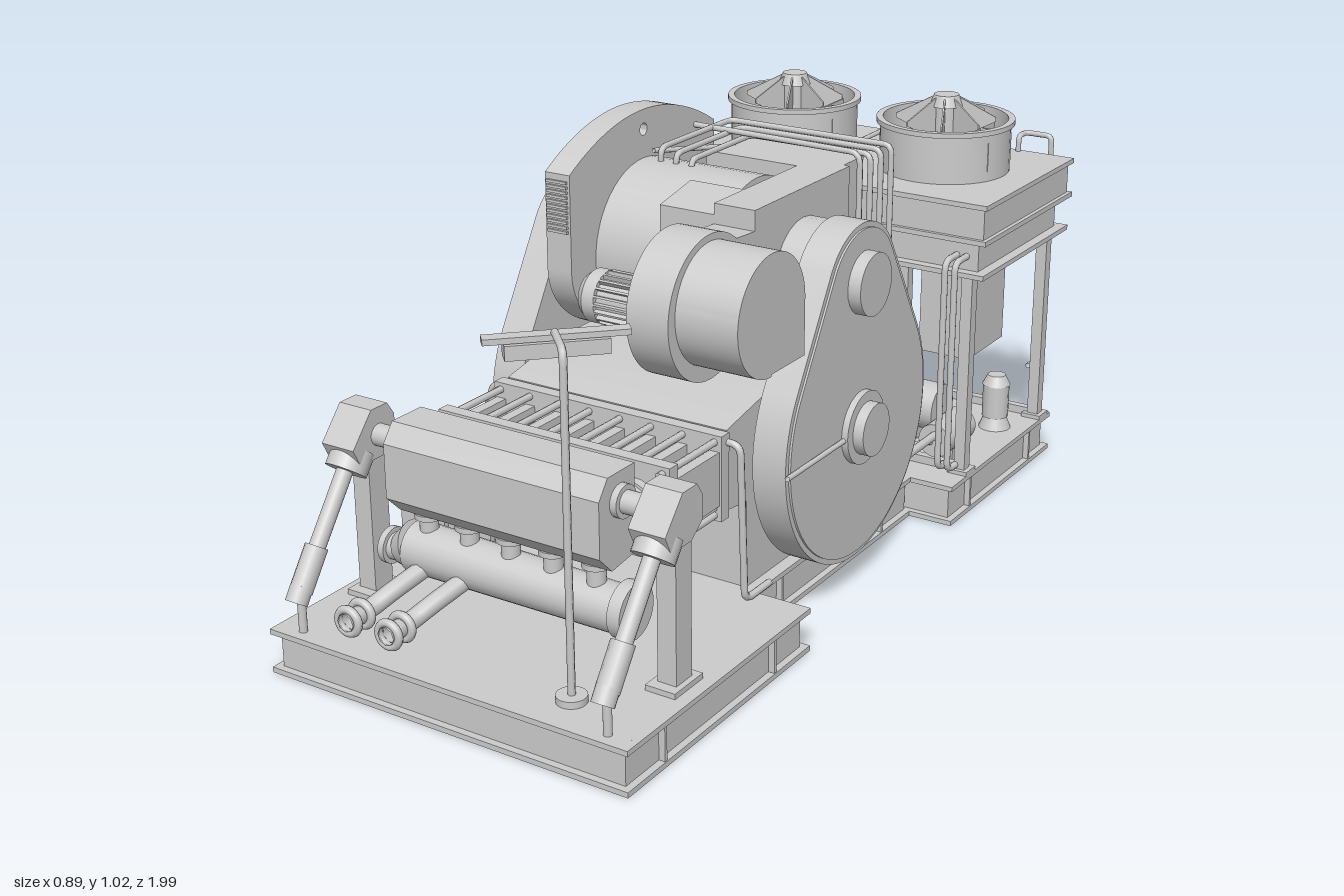
import * as THREE from 'three';
import { toCreasedNormals } from 'three/addons/utils/BufferGeometryUtils.js';

const mat = new THREE.MeshStandardMaterial({ color: 0xcccccc, side: THREE.DoubleSide });
const V = (x, y, z) => new THREE.Vector3(x, y, z);

export function createModel() {
  const root = new THREE.Group();
  const add = (name, geo) => {
    const m = new THREE.Mesh(geo, mat);
    m.name = name;
    root.add(m);
    return m;
  };
  // box given by its limits on each axis
  const box = (name, x0, x1, y0, y1, z0, z1) => {
    const m = add(name, new THREE.BoxGeometry(x1 - x0, y1 - y0, z1 - z0));
    m.position.set((x0 + x1) / 2, (y0 + y1) / 2, (z0 + z1) / 2);
    return m;
  };
  // cylinder or cone between two points
  const rod = (name, a, b, r, r2 = r, seg = 24) => {
    const d = b.clone().sub(a);
    const m = add(name, new THREE.CylinderGeometry(r2, r, d.length(), seg));
    m.position.copy(a).addScaledVector(d, 0.5);
    m.quaternion.setFromUnitVectors(V(0, 1, 0), d.normalize());
    return m;
  };
  // pipe with straight runs and rounded bends
  const pipe = (name, pts, r = 0.008, bend = 0.025) => {
    const p = pts.map(q => V(...q)), path = new THREE.CurvePath();
    let from = p[0];
    for (let i = 1; i < p.length - 1; i++) {
      const toward = t => p[i].clone().add(t.clone().sub(p[i]).setLength(bend));
      const a = toward(p[i - 1]), b = toward(p[i + 1]);
      path.add(new THREE.LineCurve3(from, a));
      path.add(new THREE.QuadraticBezierCurve3(a, p[i], b));
      from = b;
    }
    path.add(new THREE.LineCurve3(from, p[p.length - 1]));
    return add(name, new THREE.TubeGeometry(path, p.length * 20, r, 8));
  };
  // side profile in (z, y), extruded from x0 to x1
  const side = (name, shape, x0, x1) => {
    const s = Array.isArray(shape) ? new THREE.Shape(shape.map(q => new THREE.Vector2(...q))) : shape;
    const g = new THREE.ExtrudeGeometry(s, { depth: x1 - x0, bevelEnabled: false, curveSegments: 32 });
    g.rotateY(-Math.PI / 2).translate(x1, 0, 0);
    return add(name, toCreasedNormals(g, 0.5));
  };

  // Skids: flanged beams with recessed webs and a deck
  const skid = (x0, x1, z0, z1) => {
    const f = 0.035, w = 0.016;
    for (const y of [0, 0.088]) {
      box('skidFlange', x0, x0 + f, y, y + 0.012, z0, z1);
      box('skidFlange', x1 - f, x1, y, y + 0.012, z0, z1);
      box('skidFlange', x0, x1, y, y + 0.012, z0, z0 + f);
      box('skidFlange', x0, x1, y, y + 0.012, z1 - f, z1);
    }
    box('skidWeb', x0 + w, x0 + w + 0.008, 0, 0.1, z0 + w, z1 - w);
    box('skidWeb', x1 - w - 0.008, x1 - w, 0, 0.1, z0 + w, z1 - w);
    box('skidWeb', x0 + w, x1 - w, 0, 0.1, z0 + w, z0 + w + 0.008);
    box('skidWeb', x0 + w, x1 - w, 0, 0.1, z1 - w - 0.008, z1 - w);
    box('skidDeck', x0 + 0.01, x1 - 0.01, 0.09, 0.1, z0 + 0.01, z1 - 0.01);
    for (const t of [0.2, 0.8]) for (const x of [x0 + 0.002, x1 - w])
      box('skidStiffener', x, x + 0.014, 0.01, 0.09, z0 + (z1 - z0) * t, z0 + (z1 - z0) * t + 0.008);
  };
  skid(-0.445, 0.445, 0.31, 0.985);
  skid(-0.31, 0.31, -0.42, 0.34);
  skid(-0.38, 0.42, -0.96, -0.4);

  // Crankcase and the main drum above it
  side('crankcase', [[0.3, 0.1], [0.3, 0.3], [0.38, 0.31], [0.38, 0.49], [0.2, 0.525], [-0.18, 0.525], [-0.2, 0.14], [-0.23, 0.1]], -0.28, 0.28);
  rod('mainDrum', V(-0.18, 0.72, 0), V(0.12, 0.72, 0), 0.19, 0.19, 48);
  rod('drumShaft', V(-0.3, 0.72, 0), V(0.3, 0.72, 0), 0.12);
  box('terminalBox', -0.1, 0.22, 0.66, 0.905, -0.29, -0.14);
  side('dischargePanel', [[0.08, 0.66], [0.2, 0.66], [0.2, 0.88], [0.08, 0.905]], 0, 0.135);

  // Belt guards with hubs, mirrored on both sides
  const a = Math.asin(0.155 / 0.305);
  const hull = inset => {
    const sh = new THREE.Shape();
    sh.absarc(0, 0.39, 0.31 - inset, Math.PI - a, 2 * Math.PI + a, false);
    sh.absarc(0, 0.695, 0.155 - inset, a, Math.PI - a, false);
    return sh;
  };
  for (const s of [-1, 1]) {
    const span = (n, sh, p, q) => side(n, sh, Math.min(s * p, s * q), Math.max(s * p, s * q));
    span('beltGuard', hull(0), 0.3, 0.38);
    span('beltGuardCover', hull(0.012), 0.38, 0.385);
    rod('guardHub', V(s * 0.38, 0.39, 0), V(s * 0.4, 0.39, 0), 0.083);
    rod('guardHub', V(s * 0.4, 0.39, 0), V(s * 0.425, 0.39, 0), 0.06);
    rod('guardHub', V(s * 0.38, 0.72, 0), V(s * 0.415, 0.72, 0), 0.07);
    pipe('guardRod', [[s * 0.39, 0.385, 0.32], [s * 0.39, 0.385, 0.07]], 0.006);
    pipe('sidePipe', [[s * 0.27, 0.47, 0.39], [s * 0.32, 0.47, 0.39], [s * 0.32, 0.11, 0.37], [s * 0.32, 0.11, 0.27]]);
  }

  // Arched guard with a lifting eye and louvres
  const arch = new THREE.Shape();
  arch.moveTo(0.28, 0.72);
  arch.lineTo(0.28, 0.935);
  arch.quadraticCurveTo(0, 1.105, -0.29, 0.935);
  arch.lineTo(-0.29, 0.72);
  arch.absellipse(-0.005, 0.72, 0.285, 0.19, Math.PI, 2 * Math.PI, false);
  const eye = new THREE.Path();
  eye.absarc(0, 0.975, 0.014, 0, Math.PI * 2, true);
  arch.holes.push(eye);
  side('archedGuard', arch, -0.24, -0.176);
  for (let i = 0; i < 11; i++) box('louvre', -0.234, -0.182, 0.805 + i * 0.011, 0.811 + i * 0.011, 0.28, 0.286);

  // Blower: volute with discharge duct, rounded intake box and finned motor
  const volute = new THREE.Shape();
  volute.moveTo(0.2, 0.86);
  volute.lineTo(0.2, 0.905);
  volute.lineTo(-0.2, 0.905);
  volute.lineTo(-0.2, 0.72);
  volute.lineTo(0.22, 0.7);
  volute.absarc(0.37, 0.745, 0.155, Math.PI * 1.08, Math.PI * 2.72, false);
  side('blowerVolute', volute, 0.135, 0.235);
  const intake = new THREE.Shape();
  intake.moveTo(0.24, 0.755);
  intake.lineTo(0.24, 0.63);
  intake.lineTo(0.37, 0.63);
  intake.absarc(0.37, 0.755, 0.13, -Math.PI / 2, Math.PI, false);
  side('blowerIntake', intake, 0.235, 0.38);
  rod('blowerMotor', V(-0.03, 0.72, 0.37), V(0.1, 0.72, 0.37), 0.048);
  rod('motorFanCover', V(-0.045, 0.72, 0.37), V(-0.015, 0.72, 0.37), 0.058);
  rod('motorFanCover', V(-0.062, 0.72, 0.37), V(-0.045, 0.72, 0.37), 0.045, 0.058);
  rod('motorFlange', V(0.1, 0.72, 0.37), V(0.135, 0.72, 0.37), 0.058, 0.07);
  for (let i = 0; i < 20; i++) {
    const fin = box('motorFin', -0.015, 0.09, 0.713, 0.727, 0.3675, 0.3725), t = i * Math.PI / 10;
    fin.position.y += Math.cos(t) * 0.052;
    fin.position.z += Math.sin(t) * 0.052;
    fin.rotation.x = t;
  }

  // Cylinder bank: end plates, tie rods, ribs and cylinders
  box('bankPlate', -0.29, 0.29, 0.3, 0.49, 0.385, 0.415);
  box('bankPlate', -0.29, 0.29, 0.3, 0.49, 0.575, 0.605);
  box('bankFloor', -0.28, 0.28, 0.325, 0.34, 0.41, 0.58);
  for (let i = 0; i < 8; i++) {
    const x = -0.273 + i * 0.078;
    box('bankRib', x - 0.012, x + 0.012, 0.335, 0.455, 0.41, 0.58);
    for (const y of [0.312, 0.475]) rod('tieRod', V(x, y, 0.4), V(x, y, 0.62), 0.008, 0.008, 8);
  }
  for (let i = -2; i <= 2; i++) {
    const x = i * 0.105;
    rod('cylinder', V(x, 0.4, 0.6), V(x, 0.4, 0.7), 0.046);
    rod('cylinderFlange', V(x, 0.4, 0.605), V(x, 0.4, 0.625), 0.052);
    rod('cylinderGuide', V(x, 0.39, 0.41), V(x, 0.39, 0.58), 0.04);
    rod('headerStub', V(x, 0.27, 0.745), V(x, 0.34, 0.745), 0.02);
    rod('stubFlange', V(x, 0.318, 0.745), V(x, 0.33, 0.745), 0.03);
  }

  // Front chamber and the tapered manifold below
  side('frontChamber', [[0.69, 0.34], [0.77, 0.33], [0.81, 0.37], [0.81, 0.49], [0.78, 0.53], [0.69, 0.53]], -0.265, 0.265);
  rod('manifold', V(-0.25, 0.24, 0.74), V(0.28, 0.235, 0.74), 0.056, 0.05);
  rod('manifoldTaper', V(-0.29, 0.225, 0.74), V(-0.25, 0.24, 0.74), 0.035, 0.056);
  rod('manifoldNeck', V(-0.31, 0.225, 0.74), V(-0.288, 0.225, 0.74), 0.03);
  rod('manifoldFlange', V(-0.325, 0.225, 0.74), V(-0.31, 0.225, 0.74), 0.04);
  rod('manifoldFlange', V(0.27, 0.24, 0.74), V(0.3, 0.24, 0.74), 0.06);
  for (const x of [-0.245, -0.14]) {
    pipe('nozzle', [[x + 0.045, 0.22, 0.76], [x + 0.02, 0.19, 0.85], [x, 0.165, 0.9], [x, 0.165, 0.975]], 0.02);
    for (const z of [0.925, 0.965]) {
      const ring = add('nozzleFlange', new THREE.TorusGeometry(0.026, 0.009, 8, 24));
      ring.position.set(x, 0.165, z);
    }
  }

  // End brackets, posts and slanted rams
  for (const s of [-1, 1]) {
    const x = s * 0.38;
    side('endBracket', [[0.69, 0.45], [0.73, 0.42], [0.8, 0.42], [0.82, 0.46], [0.76, 0.53], [0.71, 0.53], [0.69, 0.5]], x - 0.042, x + 0.042);
    rod('bracketCollar', V(x, 0.44, 0.77), V(x, 0.4, 0.8), 0.045);
    rod('bracketPipe', V(s * 0.26, 0.47, 0.74), V(s * 0.35, 0.47, 0.74), 0.024);
    rod('bracketFlange', V(s * 0.265, 0.47, 0.74), V(s * 0.28, 0.47, 0.74), 0.035);
    box('post', x - 0.022, x + 0.022, 0.1, 0.44, 0.7, 0.755);
    box('postFoot', x - 0.035, x + 0.035, 0.1, 0.112, 0.68, 0.78);
    rod('ram', V(x, 0.42, 0.79), V(x, 0.21, 0.94), 0.018);
    rod('ramSleeve', V(x, 0.27, 0.9), V(x, 0.19, 0.955), 0.025, 0.025, 12);
    rod('ramCap', V(x, 0.2, 0.95), V(x, 0.17, 0.97), 0.024);
    rod('ramFoot', V(x, 0.19, 0.955), V(x, 0.1, 0.955), 0.009);
  }

  // Control panel on a stand
  pipe('panelStand', [[0.25, 0.1, 0.89], [0.25, 0.82, 0.89], [0.18, 0.82, 0.82]], 0.008);
  rod('standFoot', V(0.25, 0.1, 0.89), V(0.25, 0.115, 0.89), 0.032);
  for (const [w, h, d, y] of [[0.28, 0.012, 0.03, 0.813], [0.2, 0.03, 0.04, 0.79]]) {
    const panel = add('controlPanel', new THREE.BoxGeometry(w, h, d));
    panel.position.set(0.18, y, 0.815);
    panel.rotation.y = Math.PI / 4;
  }

  // Pump motors, one under an open-sided cover
  side('pumpCover', [[0.41, 0.1], [0.425, 0.1], [0.425, 0.255], [0.565, 0.255], [0.565, 0.1], [0.58, 0.1], [0.58, 0.27], [0.41, 0.27]], -0.43, -0.31);
  box('pumpCoverBack', -0.436, -0.425, 0.115, 0.258, 0.42, 0.57);
  for (const [x, z] of [[-0.365, 0.505], [0.34, -0.8]]) {
    rod('pumpBase', V(x, 0.1, z), V(x, 0.13, z), 0.04, 0.028);
    rod('pumpMotor', V(x, 0.13, z), V(x, 0.215, z), 0.033, 0.033, 12);
    rod('pumpCap', V(x, 0.215, z), V(x, 0.24, z), 0.035, 0.022);
  }

  // Cooler casing on posts
  box('coolerTop', -0.405, 0.435, 0.69, 0.77, -0.95, -0.48);
  for (const y of [0.68, 0.765]) box('coolerRim', -0.415, 0.445, y, y + 0.012, -0.96, -0.47);
  box('coolerBase', -0.385, 0.415, 0.605, 0.69, -0.93, -0.5);
  box('coolerRim', -0.41, 0.44, 0.595, 0.607, -0.955, -0.475);
  for (const x of [-0.365, 0.015, 0.395]) for (const z of [-0.5, -0.92]) {
    box('coolerPost', x - 0.014, x + 0.014, 0.1, 0.6, z - 0.014, z + 0.014);
    box('coolerPostFoot', x - 0.025, x + 0.025, 0.1, 0.11, z - 0.025, z + 0.025);
  }
  for (const z of [-0.5, -0.92]) box('coolerBrace', -0.365, 0.395, 0.1, 0.12, z - 0.01, z + 0.01);

  // Cooler fans: open rings, finned hubs and struts
  const ring = [[0.15, 0.772], [0.157, 0.772], [0.157, 0.89], [0.166, 0.89], [0.166, 0.902], [0.15, 0.902], [0.15, 0.772]];
  const fin = new THREE.Shape([[0.02, 0.86], [0.05, 0.86], [0.12, 0.895], [0.12, 0.905], [0.03, 0.952]].map(q => new THREE.Vector2(...q)));
  for (const cx of [-0.21, 0.21]) {
    const g = new THREE.LatheGeometry(ring.map(q => new THREE.Vector2(...q)), 48);
    add('fanRing', toCreasedNormals(g, 0.5)).position.set(cx, 0, -0.72);
    rod('fanHub', V(cx, 0.777, -0.72), V(cx, 0.93, -0.72), 0.032);
    rod('fanCap', V(cx, 0.93, -0.72), V(cx, 0.957, -0.72), 0.04, 0.03);
    for (let i = 0; i < 8; i++) {
      const m = add('fanFin', new THREE.ExtrudeGeometry(fin, { depth: 0.004, bevelEnabled: false }));
      m.position.set(cx, 0, -0.72);
      m.rotation.y = (i + 0.5) * Math.PI / 4;
    }
    box('fanStrut', cx - 0.006, cx + 0.006, 0.8, 0.87, -0.87, -0.57);
    box('fanStrut', cx + 0.06, cx + 0.066, 0.8, 0.87, -0.855, -0.585);
    for (const z of [-0.78, -0.72, -0.66]) box('fanStrut', cx + 0.06, cx + 0.145, 0.8, 0.87, z - 0.003, z + 0.003);
  }

  // Equipment under the cooler
  box('hangingBox', 0.25, 0.38, 0.37, 0.6, -0.73, -0.54);
  box('tallCabinet', -0.25, -0.03, 0.11, 0.58, -0.89, -0.58);
  box('tallCabinetDoor', -0.256, -0.25, 0.13, 0.56, -0.87, -0.6);
  box('tallCabinetDoor', -0.23, -0.05, 0.13, 0.56, -0.896, -0.89);
  rod('tank', V(0.02, 0.18, -0.66), V(0.26, 0.18, -0.66), 0.06);
  for (const x of [0.06, 0.2]) box('tankSaddle', x - 0.012, x + 0.012, 0.1, 0.16, -0.7, -0.62);
  rod('vessel', V(0.33, 0.17, -0.62), V(0.33, 0.17, -0.48), 0.042);
  box('vesselFoot', 0.3, 0.36, 0.1, 0.14, -0.58, -0.52);

  // Pipework
  pipe('vesselPipe', [[0.33, 0.185, -0.5], [0.33, 0.185, -0.3], [0.27, 0.185, -0.15]], 0.01);
  pipe('vesselPipe', [[0.29, 0.165, -0.15], [0.29, 0.165, -0.44], [0.33, 0.165, -0.5]], 0.008);
  for (const x of [0.36, 0.385]) pipe('riser', [[x, 0.12, -0.49], [x, 0.12, -0.44], [x, 0.64, -0.44], [x, 0.64, -0.51]]);
  pipe('rearPipe', [[0.3, 0.77, -0.95], [0.3, 0.815, -0.95], [0.3, 0.815, -0.99], [0.37, 0.815, -0.99], [0.37, 0.23, -0.99], [0.37, 0.23, -0.92]], 0.007, 0.015);
  for (let i = 0; i < 3; i++) {
    const x = -0.13 + i * 0.04, y = 0.94 - i * 0.008, z = -0.29 + i * 0.02, end = 0.29 - i * 0.015;
    pipe('topPipe', [[x, 0.88, 0], [x, y, 0], [x, y, z], [end, y, z], [end, 0.52, z], [end, 0.5, -0.17]], 0.007, 0.02);
  }
  pipe('crossPipe', [[-0.2, 0.94, -0.21], [0.255, 0.935, -0.21], [0.255, 0.6, -0.21]], 0.007);
  const cable = new THREE.CatmullRomCurve3([V(-0.15, 0.93, 0), V(-0.06, 0.89, -0.27), V(-0.03, 0.83, -0.45),
    V(-0.015, 0.815, -0.6), V(-0.01, 0.8, -0.95), V(-0.01, 0.76, -0.985), V(-0.01, 0.68, -0.965)]);
  add('cable', new THREE.TubeGeometry(cable, 60, 0.006, 8));
  pipe('returnPipe', [[-0.17, 0.64, -0.49], [-0.17, 0.64, -0.42], [0.05, 0.64, -0.42], [0.05, 0.64, -0.52]], 0.009);
  for (const x of [0.06, 0.11, 0.16])
    pipe('tankPipe', [[x, 0.2, -0.69], [x, 0.36, -0.69], [x + 0.03, 0.36, -0.6], [x + 0.03, 0.2, -0.64]], 0.009, 0.04);
  return root;
}
